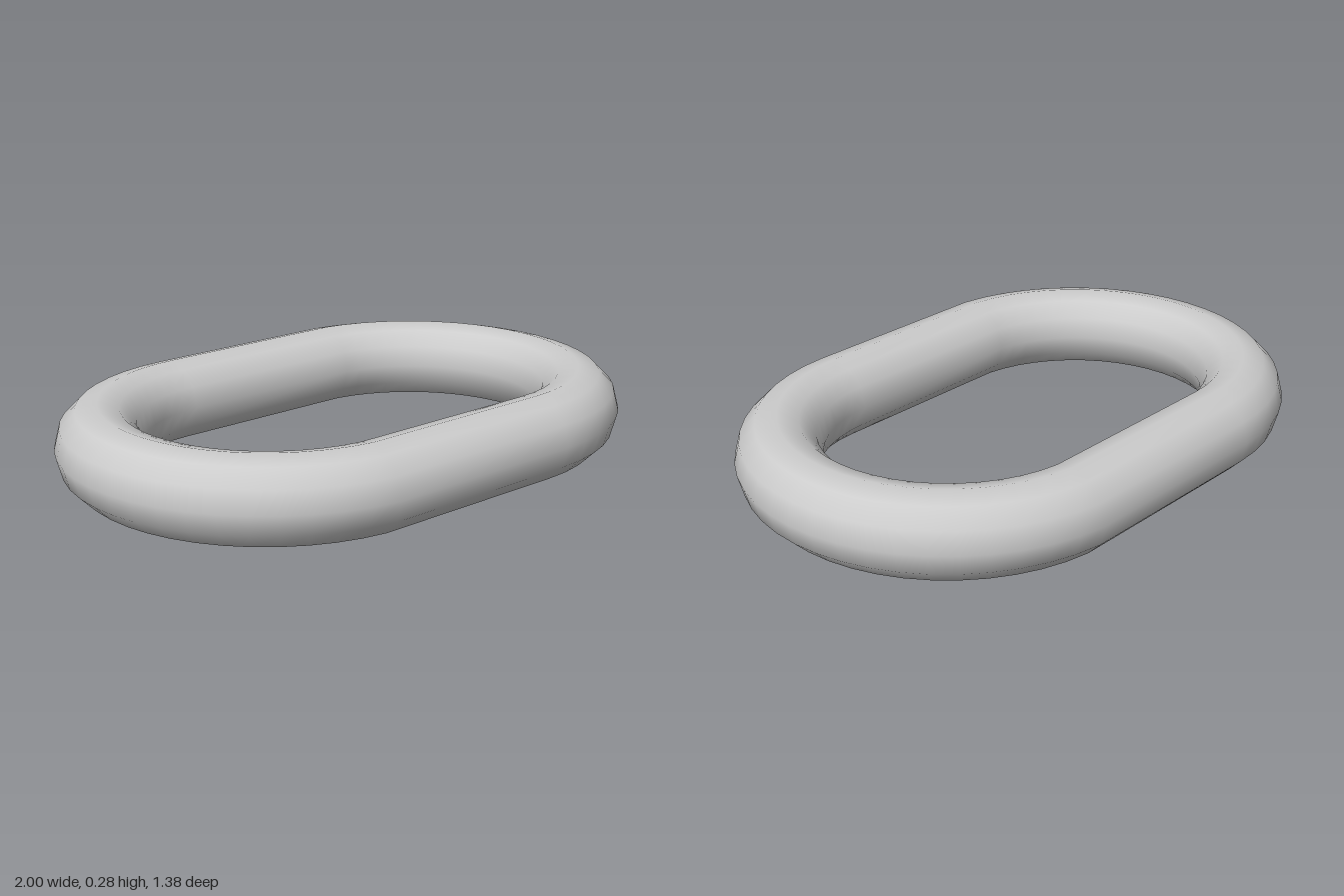
import * as THREE from 'three';

const RING = 0.552;    // centre-line radius of the rounded ends
const TUBE = 0.138;    // bar thickness radius
const STRETCH = 0.31;  // how far each half is pulled outwards

export function createModel() {
  const group = new THREE.Group();
  group.name = 'chainLink';

  // A torus split into two halves pulled apart, leaving straight sides between.
  const geometry = new THREE.TorusGeometry(RING, TUBE, 12, 48);
  const pos = geometry.attributes.position;
  for (let i = 0; i < pos.count; i++) {
    const x = pos.getX(i);
    // The slight bias sends each ring on the split line to one half only.
    const side = x + 0.05 * pos.getY(i) > 0 ? 1 : -1;
    pos.setX(i, x + side * STRETCH);
  }
  geometry.rotateX(Math.PI / 2);
  geometry.translate(0, TUBE, 0);

  const link = new THREE.Mesh(geometry, new THREE.MeshStandardMaterial({ color: 0xcccccc }));
  link.name = 'link';
  group.add(link);
  return group;
}
